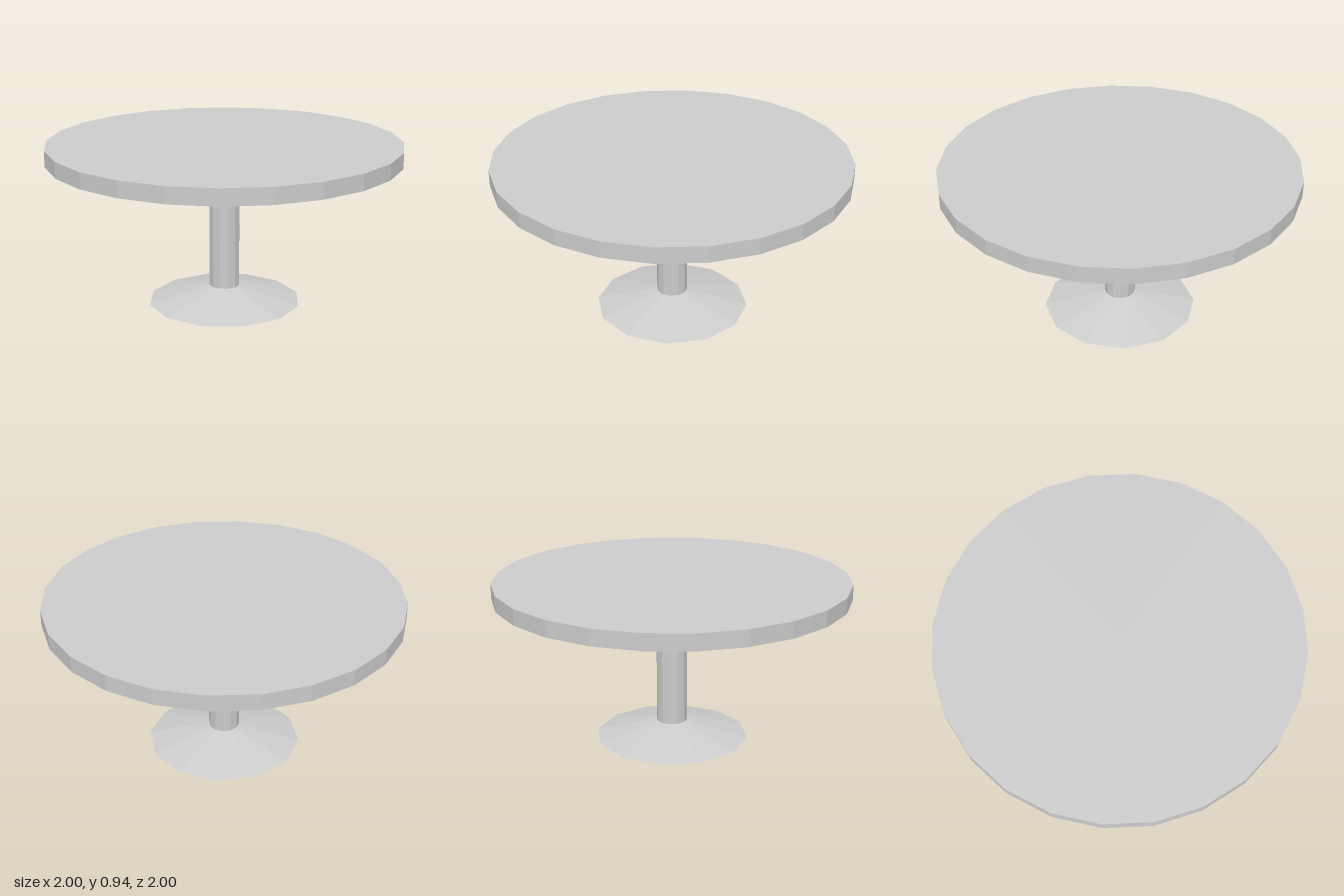
import * as THREE from 'three';

export function createModel() {
  const group = new THREE.Group();
  group.name = 'roundPedestalTable';
  const material = new THREE.MeshStandardMaterial({ color: 0xcccccc, flatShading: true });

  // Round section between two heights, with its own radius at each end
  function addSection(name, bottomRadius, topRadius, y0, y1, sides, open = false) {
    const geometry = new THREE.CylinderGeometry(topRadius, bottomRadius, y1 - y0, sides, 1, open);
    const mesh = new THREE.Mesh(geometry, material);
    mesh.name = name;
    mesh.position.y = (y0 + y1) / 2;
    group.add(mesh);
  }

  addSection('base', 0.44, 0.088, 0, 0.092, 12);
  addSection('column', 0.088, 0.088, 0.092, 0.803, 12, true);
  // Flared support under the top
  addSection('topSupport', 0.088, 0.22, 0.803, 0.848, 12);
  addSection('tabletop', 1, 1, 0.848, 0.938, 24);

  return group;
}
